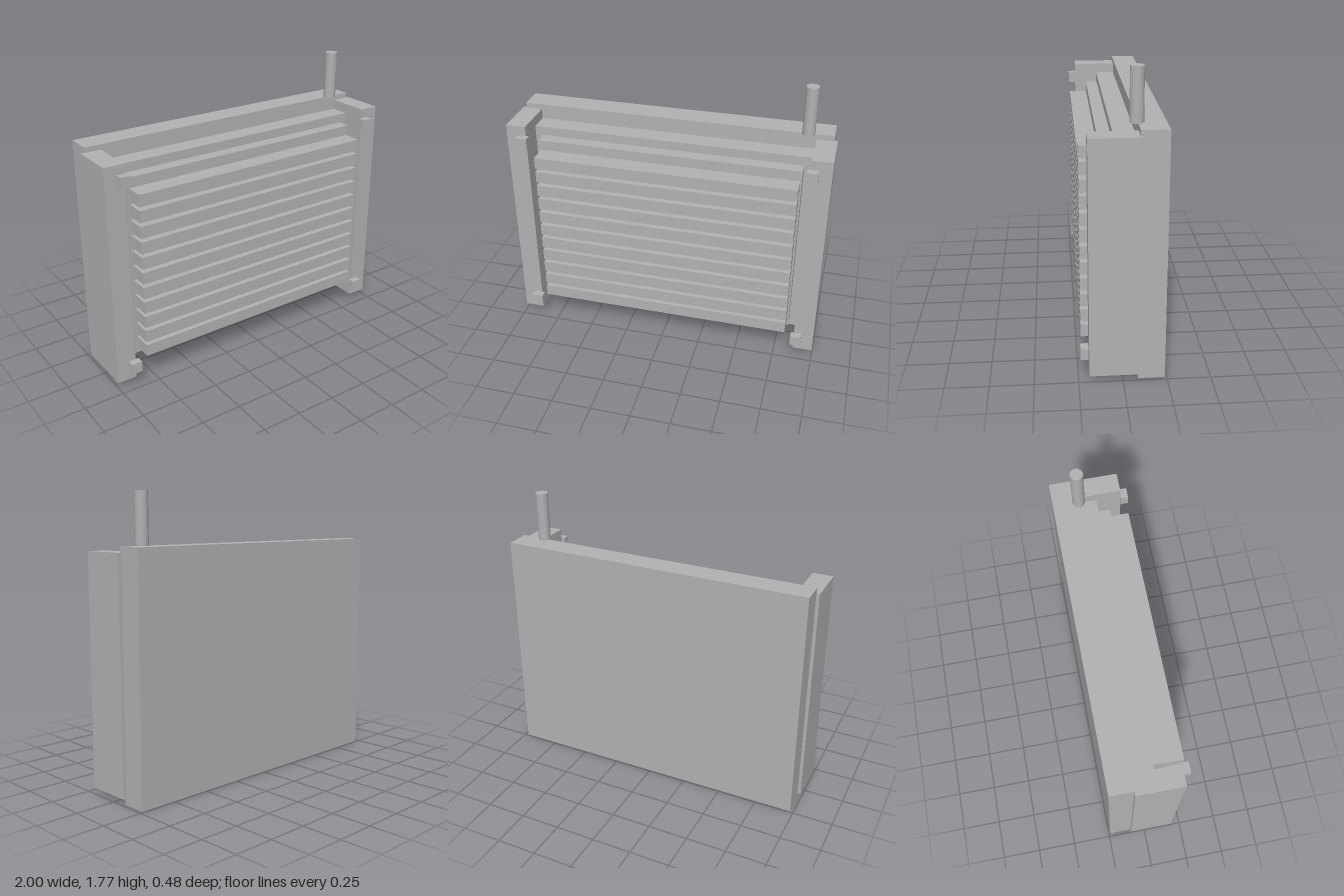
import * as THREE from 'three';

export function createModel() {
  const group = new THREE.Group();
  const grey = new THREE.MeshStandardMaterial({ color: 0xb2b2b2, flatShading: true });
  grey.name = 'plain grey';

  // Box given by its lower and upper corner
  const box = (name, x0, x1, y0, y1, z0, z1) => {
    const mesh = new THREE.Mesh(new THREE.BoxGeometry(x1 - x0, y1 - y0, z1 - z0), grey);
    mesh.position.set((x0 + x1) / 2, (y0 + y1) / 2, (z0 + z1) / 2);
    mesh.name = name;
    group.add(mesh);
  };

  // Stacked plates, from the back forward
  box('backPlate', -0.98, 0.98, 0, 1.463, -0.24, -0.085);
  box('corePanel', -0.875, 0.875, 0.1, 1.367, -0.085, 0.037);
  box('finBase', -0.826, 0.826, 0.155, 1.31, 0.037, 0.115);

  // Horizontal cooling fins
  for (let i = 0; i < 11; i++) {
    const y = 0.186 + i * 0.0983;
    box('fin', -0.816, 0.816, y, y + 0.076, 0.115, 0.231);
  }

  // Side rails, each with two square bolt heads
  for (const [side, sign] of [['left', 1], ['right', -1]]) {
    const span = (a, b) => (sign > 0 ? [a, b] : [-b, -a]);
    box(side + 'Rail', ...span(0.875, 1), 0.037, 1.43, -0.096, 0.19);
    for (const y of [0.13, 1.337]) {
      box(side + 'Bolt', ...span(0.855, 0.923), y - 0.034, y + 0.034, 0.19, 0.236);
    }
  }

  // Upright pipe on the top edge
  const pipe = new THREE.Mesh(new THREE.CylinderGeometry(0.039, 0.039, 0.304, 16), grey);
  pipe.position.set(0.825, 1.615, -0.08);
  pipe.name = 'pipe';
  group.add(pipe);

  return group;
}
